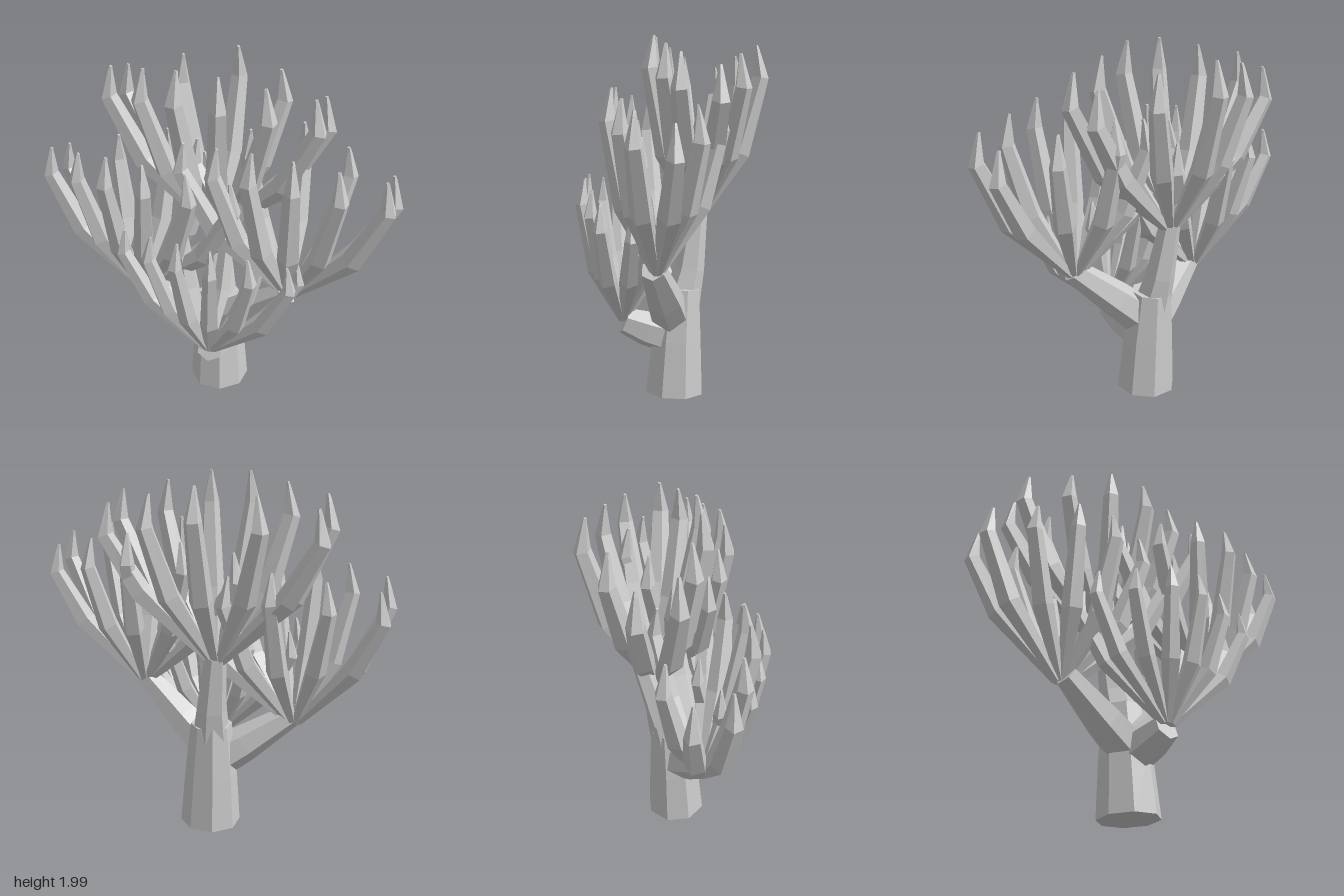
import * as THREE from 'three';

const material = new THREE.MeshStandardMaterial({ color: 0xcccccc, flatShading: true });
const V = (x, y, z) => new THREE.Vector3(x, y, z);

// Faceted limb: one ring of corners per path point, closed at both ends.
// "side" is a direction across the limb that fixes the twist of the rings.
function limb(name, path, radii, sides, side) {
  const pos = [], index = [];
  path.forEach((p, i) => {
    const before = path[Math.max(i - 1, 0)], after = path[Math.min(i + 1, path.length - 1)];
    const t = after.clone().sub(before).normalize();
    const v = t.clone().cross(side).normalize();
    const u = v.clone().cross(t);
    for (let k = 0; k < sides; k++) {
      const a = (k + 0.5) / sides * Math.PI * 2;
      const c = p.clone().addScaledVector(u, Math.cos(a) * radii[i]).addScaledVector(v, Math.sin(a) * radii[i]);
      pos.push(c.x, c.y, c.z);
    }
  });
  const last = (path.length - 1) * sides;
  for (let i = 0; i < path.length - 1; i++) {
    for (let k = 0; k < sides; k++) {
      const a = i * sides + k, b = i * sides + (k + 1) % sides;
      index.push(a, b, b + sides, a, b + sides, a + sides);
    }
  }
  for (let k = 1; k < sides - 1; k++) {
    index.push(0, k + 1, k);
    index.push(last, last + k, last + k + 1);
  }
  let g = new THREE.BufferGeometry();
  g.setAttribute('position', new THREE.Float32BufferAttribute(pos, 3));
  g.setIndex(index);
  g = g.toNonIndexed();
  g.computeVertexNormals();
  const mesh = new THREE.Mesh(g, material);
  mesh.name = name;
  return mesh;
}

// Tip offsets of one half of a twig cluster: x, z, height
const tips = [
  [0, -0.32, 0.95],
  [0.28, -0.22, 0.9],
  [0.56, -0.11, 0.84],
  [0.56, 0.08, 0.9],
  [0.33, 0.16, 0.95],
  [0.11, 0.23, 1.0],
];

// Twig: thin root, thick elbow, slim upper part, pointed bud bent inwards
function twig(base, dx, dz, height, s, shift) {
  const len = Math.hypot(dx, dz);
  const out = V(dx / len, 0, dz / len);
  const tip = base.clone().add(V(dx * s + shift, height * s, dz * s));
  const toTip = V(tip.x - base.x, 0, tip.z - base.z);
  const at = (f, y) => base.clone().addScaledVector(toTip, f).add(V(0, y * s, 0));
  const shoulder = at(1, height - 0.17).addScaledVector(out, 0.025 * s);
  const path = [
    at(0.06, 0.01),
    at(0.72, 0.37),
    shoulder,
    tip.clone().addScaledVector(out, 0.005).add(V(0, -0.025 * s, 0)),
    tip,
  ];
  const radii = [0.025, 0.064, 0.047, 0.014, 0.009].map(r => r * s);
  return limb('twig', path, radii, 5, V(out.z, 0, -out.x));
}

function cluster(name, base, s, shift = 0) {
  const g = new THREE.Group();
  g.name = name;
  for (const [x, z, h] of tips) {
    g.add(twig(base, x, z, h, s, shift));
    if (x > 0) g.add(twig(base, -x, z, h, s, shift));
  }
  return g;
}

export function createModel() {
  const model = new THREE.Group();
  model.name = 'branchingTree';

  // Trunk
  model.add(limb('trunk',
    [V(0.017, 0.018, -0.017), V(0.008, 0.33, -0.03), V(0, 0.62, -0.05)],
    [0.17, 0.147, 0.115], 8, V(0, 0, 1)));

  // Main branches
  model.add(limb('backBranch',
    [V(0, 0.52, -0.05), V(-0.02, 0.72, -0.1), V(-0.055, 1.03, -0.14)],
    [0.11, 0.085, 0.06], 6, V(1, 0, 0)));
  model.add(limb('rightBranch',
    [V(0, 0.38, 0), V(-0.17, 0.49, 0.04), V(-0.43, 0.67, 0.1)],
    [0.12, 0.105, 0.065], 6, V(0, 0, 1)));
  model.add(limb('leftBranch',
    [V(0.02, 0.44, 0), V(0.2, 0.6, 0.03), V(0.45, 0.82, 0.08)],
    [0.115, 0.1, 0.065], 6, V(0, 0, 1)));
  model.add(limb('frontBranch',
    [V(0.02, 0.34, 0), V(0.05, 0.39, 0.14), V(0.07, 0.44, 0.26)],
    [0.11, 0.1, 0.075], 6, V(1, 0, 0)));

  // Twig clusters at the branch ends
  model.add(cluster('backCluster', V(-0.06, 1.0, -0.14), 1));
  model.add(cluster('rightCluster', V(-0.44, 0.63, 0.08), 0.93, 0.06));
  model.add(cluster('leftCluster', V(0.45, 0.8, 0.06), 0.93, -0.05));
  model.add(cluster('frontCluster', V(0.07, 0.45, 0.27), 0.8));
  return model;
}
